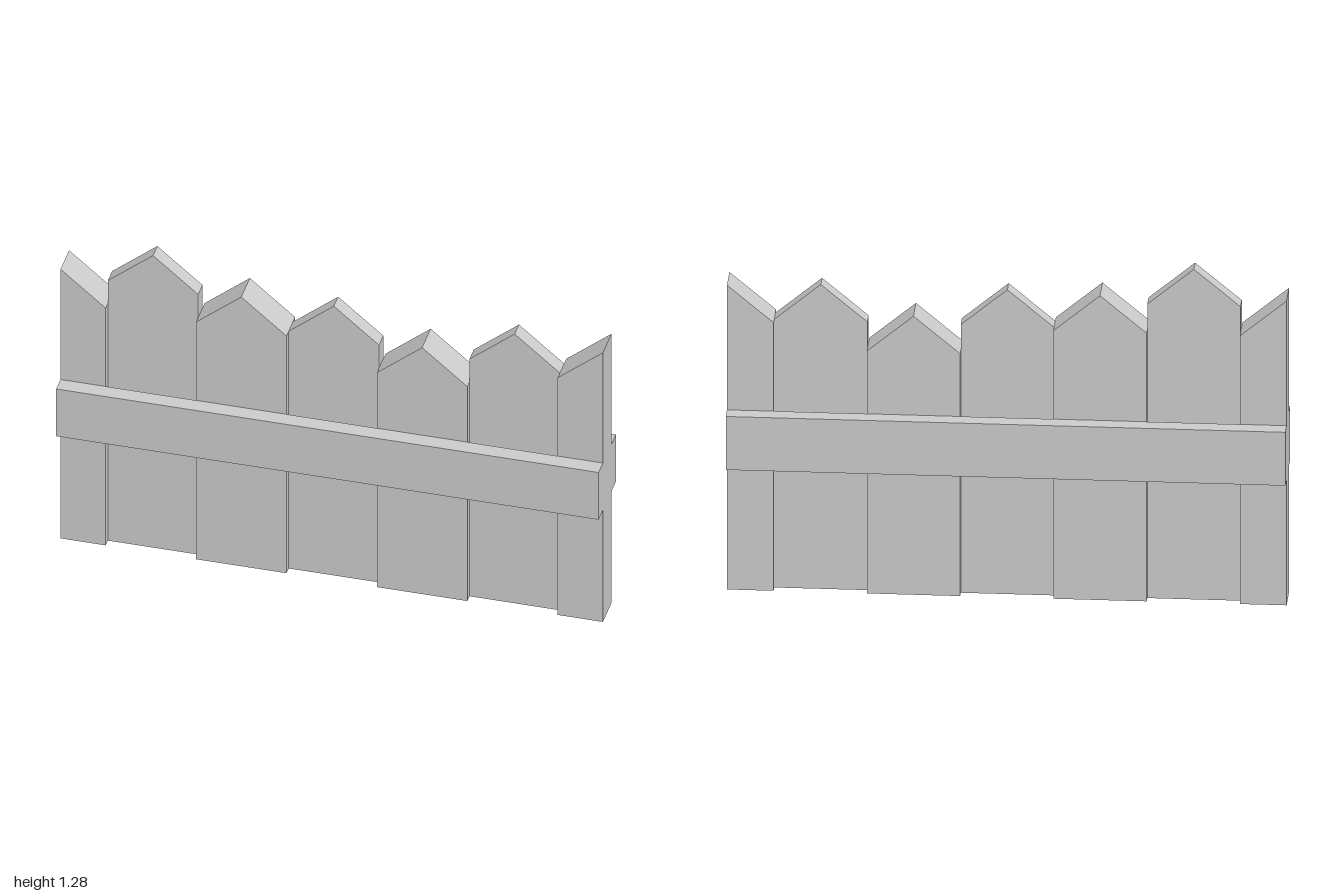
import * as THREE from 'three';

const material = new THREE.MeshStandardMaterial({ color: 0xcccccc, flatShading: true });
const PITCH = 1 / 3; // board width
const THICK = 0.12;
const THIN = 0.06;
const POINT = 0.14; // height of the pointed top above the shoulders

// Pointed board, clipped at the ends of the panel (x = -1 and x = 1)
function board(name, centre, peak, depth) {
  const half = PITCH / 2;
  const left = Math.max(centre - half, -1);
  const right = Math.min(centre + half, 1);
  const topAt = (x) => peak - POINT * Math.abs(x - centre) / half;
  const shape = new THREE.Shape();
  shape.moveTo(left, 0);
  shape.lineTo(right, 0);
  shape.lineTo(right, topAt(right));
  if (centre > left && centre < right) shape.lineTo(centre, peak);
  shape.lineTo(left, topAt(left));
  shape.closePath();
  const geometry = new THREE.ExtrudeGeometry(shape, { depth, bevelEnabled: false });
  geometry.translate(0, 0, -depth / 2);
  const mesh = new THREE.Mesh(geometry, material);
  mesh.name = name;
  return mesh;
}

export function createModel() {
  const fence = new THREE.Group();
  fence.name = 'fence';

  // Boards alternate thick and thin, with half boards at both ends
  const peaks = [1.18, 1.28, 1.18, 1.18, 1.08, 1.18, 1.18];
  peaks.forEach((peak, i) => {
    const isEnd = i === 0 || i === peaks.length - 1;
    const name = (isEnd ? 'endBoard' : 'board') + (i + 1);
    fence.add(board(name, (i - 3) * PITCH, peak, i % 2 ? THIN : THICK));
  });

  // Horizontal rails on the front and back
  for (const side of [1, -1]) {
    const rail = new THREE.Mesh(new THREE.BoxGeometry(2, 0.207, 0.06), material);
    rail.name = side > 0 ? 'frontRail' : 'backRail';
    rail.position.set(0, 0.593, side * 0.09);
    fence.add(rail);
  }
  return fence;
}
